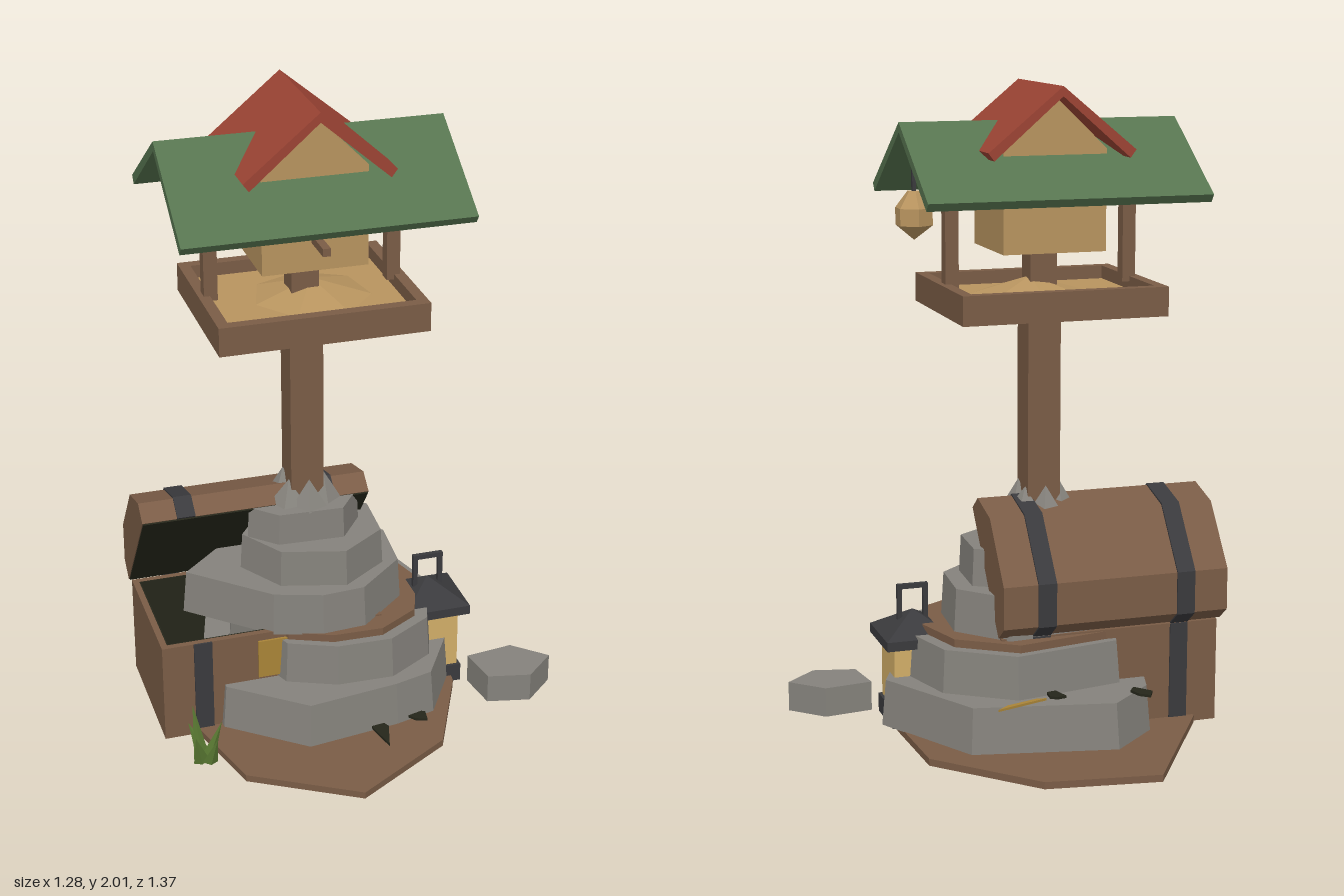
import * as THREE from 'three';

const makeMat = (name, color) => {
  const m = new THREE.MeshStandardMaterial({ color, flatShading: true });
  m.name = name;
  return m;
};

export function createModel() {
  const model = new THREE.Group();
  model.name = 'birdFeederOnCairn';
  const wood = makeMat('wood', 0x7a5c46), tan = makeMat('paleWood', 0xb8945f);
  const green = makeMat('greenRoof', 0x56744f), red = makeMat('redRoof', 0x9c4434);
  const stone = makeMat('stone', 0x85827c), iron = makeMat('iron', 0x3a3a3d);
  const glow = makeMat('lanternGlow', 0xd2ae68), gold = makeMat('gold', 0xa98438);
  const dark = makeMat('darkInterior', 0x25261a), grass = makeMat('grass', 0x5c7c34);

  const add = (name, geo, mat, x = 0, y = 0, z = 0, parent = model) => {
    const m = new THREE.Mesh(geo, mat);
    m.name = name;
    m.position.set(x, y, z);
    parent.add(m);
    return m;
  };
  const box = (name, mat, w, h, d, x, y, z, parent) =>
    add(name, new THREE.BoxGeometry(w, h, d), mat, x, y, z, parent);

  // Upright slab from a plan outline of [x, z] points; the top shrinks by the taper
  const slab = (name, mat, pts, y0, y1, taper = 1) => {
    const shape = new THREE.Shape(pts.map(([x, z]) => new THREE.Vector2(x, -z)));
    const geo = new THREE.ExtrudeGeometry(shape, { depth: y1 - y0, bevelEnabled: false });
    geo.rotateX(-Math.PI / 2);
    const cx = pts.reduce((s, p) => s + p[0], 0) / pts.length;
    const cz = pts.reduce((s, p) => s + p[1], 0) / pts.length;
    const pos = geo.attributes.position;
    for (let i = 0; i < pos.count; i++) {
      if (pos.getY(i) < (y1 - y0) / 2) continue;
      pos.setX(i, cx + (pos.getX(i) - cx) * taper);
      pos.setZ(i, cz + (pos.getZ(i) - cz) * taper);
    }
    geo.computeVertexNormals();
    return add(name, geo, mat, 0, y0, 0);
  };

  // Profile of [u, y] points extruded and centred along z, or along x with u as z
  const prism = (pts, length, alongX) => {
    const shape = new THREE.Shape(pts.map(([u, y]) => new THREE.Vector2(u, y)));
    const geo = new THREE.ExtrudeGeometry(shape, { depth: length, bevelEnabled: false });
    geo.translate(0, 0, -length / 2);
    return alongX ? geo.rotateY(-Math.PI / 2) : geo;
  };
  const roofProfile = (s, d) => [[0, 0], [s, -d], [s - 0.018, -d - 0.024], [0, -0.03],
    [-s + 0.018, -d - 0.024], [-s, -d]];

  const CX = -0.117, CZ = -0.018;

  // Ground
  slab('ground', wood, [[-0.28, -0.69], [0.07, -0.64], [0.34, -0.36], [0.355, -0.05], [0.33, 0.18],
    [0.185, 0.49], [-0.13, 0.68], [-0.45, 0.49], [-0.53, 0.2], [-0.56, -0.25]], 0, 0.022);

  // Stone cairn, bottom to top
  const layers = [
    [0.02, 0.165, [[-0.45, 0.22], [-0.22, 0.405], [0.08, 0.365], [0.21, 0.33], [0.32, 0.15], [0.4, -0.03],
      [0.21, -0.37], [-0.23, -0.46], [-0.38, -0.33], [-0.46, -0.05]]],
    [0.165, 0.3, [[-0.25, 0.24], [-0.1, 0.305], [0.08, 0.31], [0.23, 0.22], [0.31, 0], [0.25, -0.2],
      [0.05, -0.335], [-0.3, -0.27], [-0.36, -0.05]]],
    [0.32, 0.46, [[-0.515, -0.02], [-0.28, 0.2], [-0.13, 0.25], [0.01, 0.24], [0.17, 0.1], [0.185, -0.1],
      [0.05, -0.25], [-0.3, -0.22]]],
    [0.455, 0.578, [[-0.33, 0], [-0.24, 0.15], [-0.04, 0.205], [0.11, 0.1], [0.12, -0.08],
      [-0.02, -0.16], [-0.22, -0.15]]],
    [0.57, 0.68, [[-0.31, 0.02], [-0.23, 0.1], [-0.02, 0.11], [0.06, 0], [0, -0.12], [-0.2, -0.12]]],
  ];
  layers.forEach(([y0, y1, pts], i) => slab(`stoneLayer${i + 1}`, stone, pts, y0, y1, 0.97));
  slab('soilBetweenStones', wood, layers[1][2].map(([x, z]) => [CX + (x - CX) * 0.88, z * 0.88]), 0.295, 0.325);
  for (let i = 0; i < 6; i++) {
    const a = i * Math.PI / 3 + 0.5;
    const tip = add('crownStone', new THREE.ConeGeometry(0.06, 0.1 - (i % 3) * 0.012, 5), stone,
      CX + 0.065 * Math.cos(a), 0.72, CZ + 0.065 * Math.sin(a));
    tip.rotation.y = i;
  }
  slab('looseStone', stone, [[0.385, 0.165], [0.54, 0.145], [0.64, 0.24], [0.54, 0.33], [0.405, 0.3]], 0, 0.095);

  // Chest body, open at the top
  const chest = new THREE.Group();
  chest.name = 'chest';
  chest.position.set(-0.28, 0, -0.02);
  model.add(chest);
  const T = 0.02;
  box('chestFloor', dark, 0.68, 0.02, 0.41, 0, 0.04, 0, chest);
  for (const s of [-1, 1]) {
    box('chestLongWall', wood, 0.71, 0.33, T, 0, 0.165, s * 0.21, chest);
    box('chestEndWall', wood, T, 0.33, 0.4, s * 0.345, 0.165, 0, chest);
    box('chestLongLining', dark, 0.67, 0.3, 0.004, 0, 0.18, s * 0.198, chest);
    box('chestEndLining', dark, 0.004, 0.3, 0.396, s * 0.333, 0.18, 0, chest);
    for (const f of [-1, 1]) box('chestStrap', iron, 0.058, 0.33, 0.006, s * 0.226, 0.165, f * 0.222, chest);
  }
  box('lockPlate', gold, 0.1, 0.13, 0.009, 0, 0.24, 0.223, chest);

  // Chest lid, propped open on its back edge
  const lid = new THREE.Group();
  lid.name = 'chestLid';
  lid.position.set(0, 0.335, -0.22);
  lid.rotation.x = -0.91;
  chest.add(lid);
  const lidProfile = [[0, 0], [0.44, 0], [0.44, 0.07], [0.335, 0.15], [0.105, 0.15], [0, 0.07]];
  add('lidShell', prism(lidProfile, 0.73, true), wood, 0, 0, 0, lid);
  box('lidLining', dark, 0.725, 0.005, 0.435, 0, -0.002, 0.22, lid);
  const strapProfile = lidProfile.map(([u, y]) => [0.22 + (u - 0.22) * 1.02, y * 1.04]);
  for (const s of [-1, 1]) add('lidStrap', prism(strapProfile, 0.058, true), iron, s * 0.226, 0, 0, lid);

  // Lantern
  const lantern = new THREE.Group();
  lantern.name = 'lantern';
  lantern.position.set(0.275, 0, 0.063);
  model.add(lantern);
  box('lanternBase', iron, 0.18, 0.06, 0.18, 0, 0.03, 0, lantern);
  box('lanternGlass', glow, 0.16, 0.2, 0.16, 0, 0.16, 0, lantern);
  box('lanternBrim', iron, 0.13, 0.03, 0.22, 0, 0.275, 0, lantern).scale.x = 0.22 / 0.13;
  const cap = add('lanternCap', new THREE.ConeGeometry(0.155, 0.07, 4), iron, 0, 0.325, 0, lantern);
  cap.rotation.y = Math.PI / 4;
  for (const s of [-1, 1]) box('handleSide', iron, 0.015, 0.13, 0.015, s * 0.042, 0.37, 0, lantern);
  box('handleTop', iron, 0.1, 0.015, 0.015, 0, 0.435, 0, lantern);

  // Grass tuft, ground leaves and straw
  const blades = [[-0.55, 0.33, 0.2, 0.12, 0], [-0.535, 0.34, 0.15, -0.3, 0.15], [-0.54, 0.32, 0.13, 0.35, -0.1],
    [-0.53, 0.36, 0.11, -0.15, 0.35], [-0.555, 0.35, 0.12, 0.2, 0.3]];
  for (const [x, z, h, rz, rx] of blades) {
    const geo = new THREE.ConeGeometry(0.025, h, 4).translate(0, h / 2, 0);
    const blade = add('grassBlade', geo, grass, x, 0, z);
    blade.scale.z = 0.5;
    blade.rotation.set(rx, 0, rz);
  }
  const leaves = [[0.012, 0.35, 0.135, 0], [0.13, 0.33, 0.07, 0.6], [-0.32, -0.37, 0.07, 3.4], [-0.07, -0.32, 0.05, 3]];
  for (const [x, z, l, turn] of leaves) {
    const leaf = slab('groundLeaf', dark, [[-0.025, 0], [0, -0.02], [0.028, 0.04], [0, l], [-0.022, 0.04]], 0, 0.008);
    leaf.position.set(x, z < 0 ? 0.168 : 0.03, z);
    leaf.rotation.y = turn;
  }
  slab('straw', gold, [[-0.03, -0.36], [0.14, -0.415], [0.1, -0.385], [0, -0.355]], 0.166, 0.173);

  // Post and feeding tray
  box('mainPost', wood, 0.105, 1.31, 0.105, CX, 0.675, CZ);
  box('upperPost', wood, 0.085, 0.2, 0.085, CX, 1.42, CZ);
  box('trayFloor', wood, 0.64, 0.03, 0.52, CX, 1.326, CZ);
  for (const s of [-1, 1]) {
    box('trayLongRim', wood, 0.645, 0.09, 0.035, CX, 1.356, CZ + s * 0.245);
    box('trayShortRim', wood, 0.035, 0.09, 0.455, CX + s * 0.305, 1.356, CZ);
    box('roofPost', wood, 0.042, 0.47, 0.042, CX + s * 0.285, 1.62, CZ);
  }
  box('seedBed', tan, 0.575, 0.02, 0.455, CX, 1.35, CZ);
  const pile = add('seedPile', new THREE.ConeGeometry(0.2, 0.06, 7), tan, CX + 0.03, 1.385, CZ);
  pile.rotation.y = 0.4;

  // Bird house with its gable, hole and perch
  add('house', prism([[-0.162, 1.5], [0.162, 1.5], [0.162, 1.81], [0, 1.966], [-0.162, 1.81]], 0.3, false),
    tan, CX, 0, -0.015);
  add('entranceHole', new THREE.CylinderGeometry(0.045, 0.045, 0.006, 8).rotateX(Math.PI / 2), dark, CX, 1.7, 0.137);
  box('perch', wood, 0.024, 0.024, 0.12, CX, 1.6, 0.192);

  // Crossing roofs
  add('greenRoof', prism(roofProfile(0.32, 0.21), 0.88, true), green, -0.115, 1.89, CZ);
  add('redRoof', prism(roofProfile(0.23, 0.19), 0.43, false), red, CX, 2, -0.02);

  // Hanging seed ball
  const ball = [[0, 1.538], [0.058, 1.583], [0.058, 1.635], [0.02, 1.685], [0, 1.685]]
    .map(([r, y]) => new THREE.Vector2(r, y));
  add('hangingSeedBall', new THREE.LatheGeometry(ball, 6), tan, 0.28, 0, CZ);
  box('hangingString', iron, 0.012, 0.2, 0.012, 0.28, 1.77, CZ);

  return model;
}
